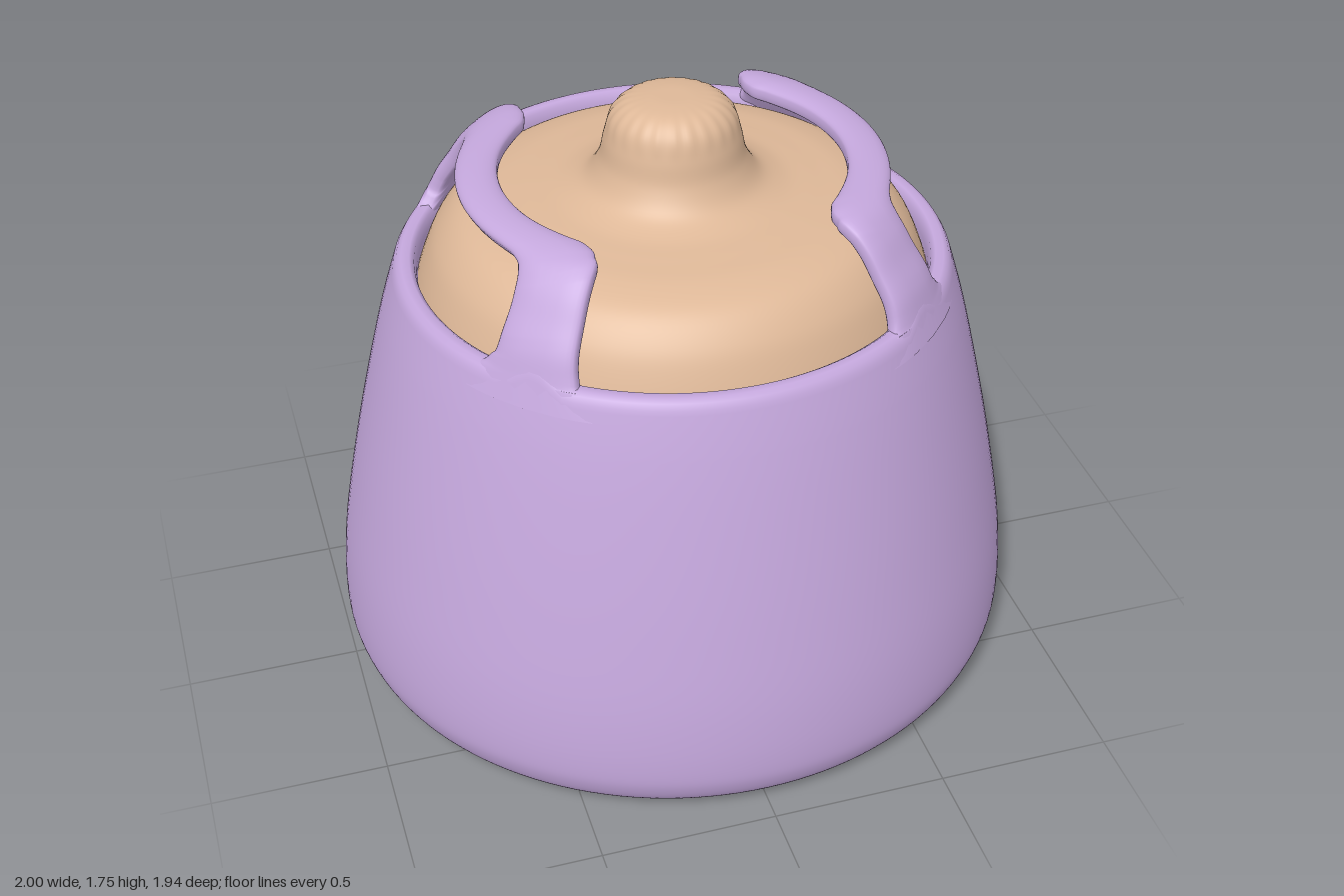
import * as THREE from 'three';
import { mergeVertices } from 'three/addons/utils/BufferGeometryUtils.js';
import { ParametricGeometry } from 'three/addons/geometries/ParametricGeometry.js';

const DEPTH = 0.97; // slightly oval footprint
const WALL = 0.06;
const curve = (pts) => new THREE.CatmullRomCurve3(pts.map(([a, b]) => new THREE.Vector3(a, b, 0)));
const smooth = THREE.MathUtils.smoothstep;
const power = (x, e) => Math.sign(x) * Math.abs(x) ** e;

// Outer shell profile as (radius, height): tall wall, then shoulder dome
const WALL_PTS = [[0.84, 0], [0.91, 0.012], [0.965, 0.05], [0.993, 0.11], [1, 0.18],
  [0.988, 0.35], [0.945, 0.6], [0.885, 0.88], [0.825, 1.12]];
const DOME_PTS = [[0.775, 1.28], [0.745, 1.36], [0.7, 1.43], [0.655, 1.495], [0.605, 1.54], [0.55, 1.558], [0.48, 1.56]];
const profile = curve([...WALL_PTS, ...DOME_PTS]);
const dome = curve(DOME_PTS);

// Radius of the profile at a given height
function radiusAt(y) {
  let lo = 0, hi = 0.98;
  for (let i = 0; i < 30; i++) {
    const mid = (lo + hi) / 2;
    if (profile.getPoint(mid).y < y) lo = mid; else hi = mid;
  }
  return profile.getPoint(lo).x;
}

// Weld seams so that normals run smoothly round
function weld(geometry) {
  geometry.deleteAttribute('uv');
  geometry.deleteAttribute('normal');
  const g = mergeVertices(geometry, 1e-5);
  g.computeVertexNormals();
  return g;
}

// Rim height: low at front and sides, raised at the back and under the pillars
function rimHeight(theta) {
  const t = THREE.MathUtils.radToDeg(Math.atan2(Math.sin(theta), Math.abs(Math.cos(theta))));
  const pillar = smooth(t, 38, 46) * (1 - smooth(t, 46, 54));
  return 1.282 + 0.14 * smooth(-t, 38, 53) + 0.05 * pillar;
}

function shellGeometry() {
  const lowerRows = 44, upperRows = 10;
  const lip = [[0.008, 0.008], [0.022, 0], [0.045, 0], [0.058, 0.01], [0.064, 0.04], [0.07, 0.14]];
  const lower = [];
  for (let i = 0; i <= lowerRows; i++) lower.push(profile.getPoint((i / lowerRows) * 8 / 15));
  const rows = lowerRows + upperRows + lip.length;
  return weld(new ParametricGeometry((u, v, target) => {
    const theta = -u * Math.PI * 2;
    const h = rimHeight(theta);
    const j = Math.round(v * rows);
    let r, y;
    if (j <= lowerRows) {
      r = lower[j].x;
      y = lower[j].y;
    } else if (j <= lowerRows + upperRows) {
      y = THREE.MathUtils.lerp(1.12, h - 0.025, (j - lowerRows) / upperRows);
      r = radiusAt(y);
    } else {
      const [inset, drop] = lip[j - lowerRows - upperRows - 1];
      r = radiusAt(h - 0.02) - inset;
      y = h - drop;
    }
    target.set(r * Math.cos(theta), y, DEPTH * r * Math.sin(theta));
  }, 144, rows));
}

// Handle edges as (degrees from the side, position up the dome), front to back
const openingFront = [[66, -0.16], [58.5, -0.01], [54.5, 0.09], [54, 0.3], [54, 0.5], [54, 0.7],
  [52, 0.88], [47, 0.98], [40, 1], [20, 1], [0, 1]];
const openingBack = [[-20, 1], [-40, 1], [-47, 0.98], [-52, 0.88], [-54, 0.72], [-54, 0.6],
  [-54.3, 0.5], [-56, 0.4], [-60, 0.34], [-67, 0.24]];
const windowFront = [[24, -0.16], [31, -0.01], [34.5, 0.07], [36, 0.2], [36, 0.35], [35.5, 0.5],
  [34, 0.62], [31, 0.68], [27, 0.7], [14, 0.71], [0, 0.71]];
const windowBack = windowFront.slice(0, -1).reverse().map(([a, v]) => [-a, v]);
const openingEdge = curve([...openingFront, ...openingBack]);
const windowEdge = curve([...windowFront, ...windowBack]);

// Rounded strip lofted between the two edges and wrapped on the dome
function handleGeometry(side) {
  const length = dome.getLength();
  return weld(new ParametricGeometry((u, v, target) => {
    const phi = side * v * Math.PI * 2;
    const across = 0.5 + 0.5 * power(Math.cos(phi), 0.7);
    const offset = WALL / 2 * (power(Math.sin(phi), 0.55) - 1);
    const e = openingEdge.getPoint(u).lerp(windowEdge.getPoint(u), across);
    const t = THREE.MathUtils.clamp(e.y, 0, 1);
    const p = dome.getPointAt(t), tangent = dome.getTangentAt(t);
    p.addScaledVector(tangent, (e.y - t) * length);
    const r = p.x + tangent.y * offset, y = p.y - tangent.x * offset;
    const a = THREE.MathUtils.degToRad(e.x);
    target.set(side * r * Math.cos(a), y, DEPTH * r * Math.sin(a));
  }, 120, 32));
}

// Inner vessel with domed lid and knob
function lidGeometry() {
  const path = curve([[0.83, 0.02], [0.85, 0.3], [0.8, 0.8], [0.735, 1.15], [0.695, 1.28], [0.655, 1.36],
    [0.59, 1.425], [0.5, 1.456], [0.4, 1.468], [0.31, 1.48], [0.245, 1.51], [0.205, 1.57], [0.188, 1.64],
    [0.168, 1.7], [0.13, 1.735], [0.07, 1.748], [0, 1.75]]);
  const pts = path.getPoints(96).map((p) => new THREE.Vector2(Math.max(p.x, 0), p.y));
  const g = new THREE.LatheGeometry(pts, 120);
  const pos = g.attributes.position;
  for (let i = 0; i < pos.count; i++) { // fine flutes round the knob top
    const x = pos.getX(i), y = pos.getY(i), z = pos.getZ(i);
    const flute = smooth(y, 1.64, 1.71) * smooth(Math.hypot(x, z), 0.05, 0.13);
    const k = 1 + 0.012 * flute * Math.cos(24 * Math.atan2(z, x));
    pos.setXYZ(i, x * k, y, z * k * DEPTH);
  }
  return weld(g);
}

export function createModel() {
  const lilac = new THREE.MeshStandardMaterial({ color: 0xc5a8dd, side: THREE.DoubleSide });
  lilac.name = 'lilac';
  const tan = new THREE.MeshStandardMaterial({ color: 0xdeb898, side: THREE.DoubleSide });
  tan.name = 'tan';
  const model = new THREE.Group();
  const add = (name, geometry, material) => {
    const mesh = new THREE.Mesh(geometry, material);
    mesh.name = name;
    model.add(mesh);
    return mesh;
  };

  add('shell', shellGeometry(), lilac);
  add('leftHandle', handleGeometry(1), lilac);
  add('rightHandle', handleGeometry(-1), lilac);
  add('lidAndKnob', lidGeometry(), tan);

  // Flat underside
  const base = add('base', new THREE.CircleGeometry(0.845, 96), tan);
  base.rotation.x = Math.PI / 2;
  base.scale.y = DEPTH;
  return model;
}
